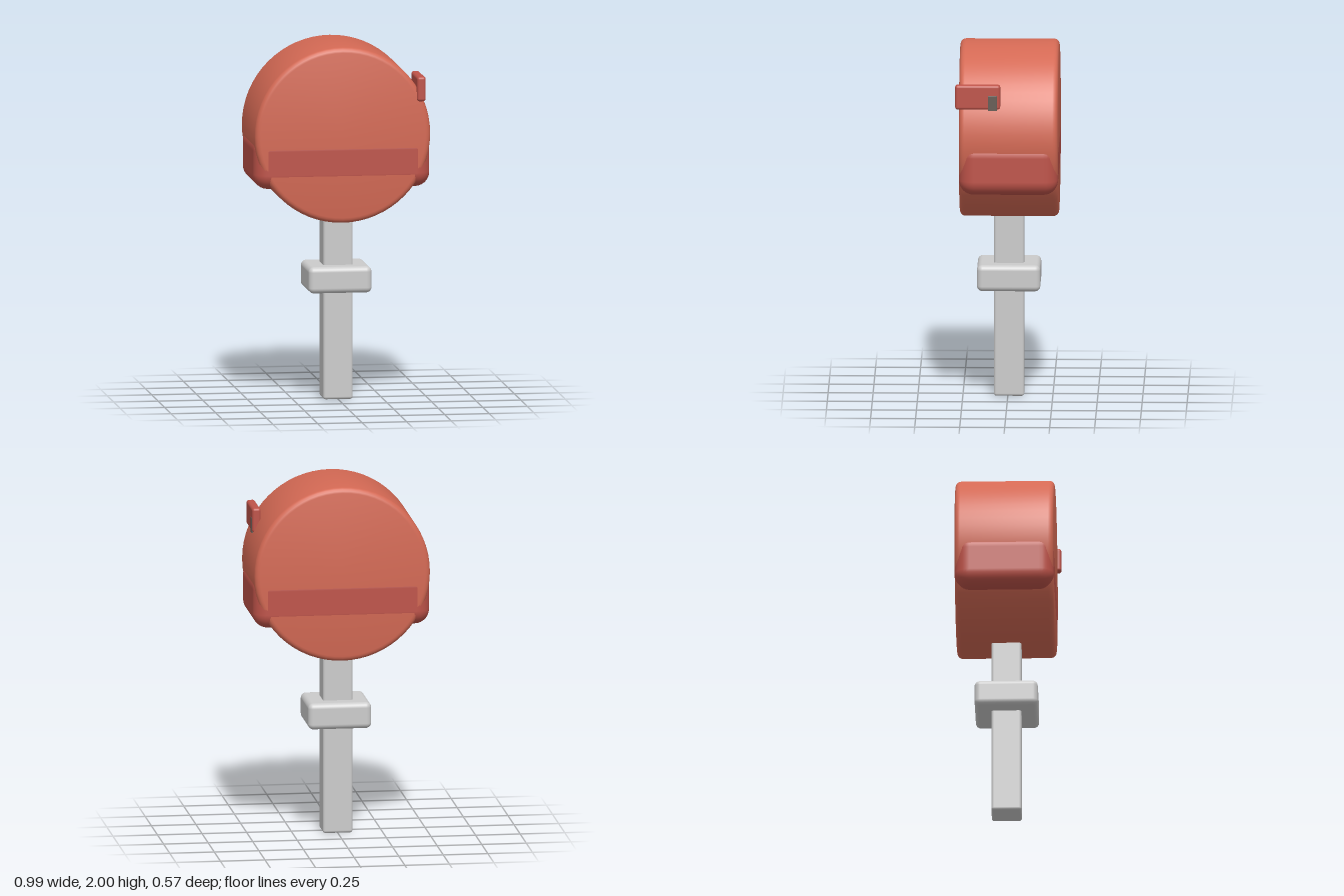
import * as THREE from 'three';
import { RoundedBoxGeometry } from 'three/addons/geometries/RoundedBoxGeometry.js';
import { toCreasedNormals } from 'three/addons/utils/BufferGeometryUtils.js';

const material = (color) => new THREE.MeshStandardMaterial({ color });

// Rounded box given by its limits on each axis
function block(name, [x0, x1], [y0, y1], [z0, z1], radius, mat) {
  const geometry = new RoundedBoxGeometry(x1 - x0, y1 - y0, z1 - z0, 4, radius);
  const mesh = new THREE.Mesh(geometry, mat);
  mesh.position.set((x0 + x1) / 2, (y0 + y1) / 2, (z0 + z1) / 2);
  mesh.name = name;
  return mesh;
}

// Disc-ended drum with softly rounded rims, lathed about y and laid along z
function drum(name, radius, depth, bevel, mat) {
  const h = depth / 2;
  const profile = [new THREE.Vector2(0, -h)];
  for (const [cy, start] of [[-h + bevel, -Math.PI / 2], [h - bevel, 0]]) {
    for (let i = 0; i <= 4; i++) {
      const a = start + (i / 4) * (Math.PI / 2);
      profile.push(new THREE.Vector2(radius - bevel + bevel * Math.cos(a), cy + bevel * Math.sin(a)));
    }
  }
  profile.push(new THREE.Vector2(0, h));
  const geometry = toCreasedNormals(new THREE.LatheGeometry(profile, 64), 0.6);
  geometry.rotateX(Math.PI / 2);
  const mesh = new THREE.Mesh(geometry, mat);
  mesh.name = name;
  return mesh;
}

export function createModel() {
  const group = new THREE.Group();
  group.name = 'drumOnPost';

  const grey = material(0xcccccc);
  const red = material(0xd46954);
  const deepRed = material(0xbe5349);
  const dark = material(0x665c55);

  // Square post and its collar
  group.add(block('post', [-0.083, 0.083], [0, 1.1], [-0.091, 0.077], 0.015, grey));
  group.add(block('collar', [-0.177, 0.177], [0.607, 0.755], [-0.182, 0.17], 0.03, grey));

  // Round body facing front
  const body = drum('body', 0.493, 0.55, 0.03, red);
  body.position.set(0, 1.507, -0.01);
  group.add(body);

  // Wide band through the body, just proud of both discs
  group.add(block('band', [-0.495, 0.495], [1.205, 1.505], [-0.286, 0.266], 0.083, deepRed));

  // Side tab with a small dark catch
  group.add(block('tab', [0.414, 0.463], [1.692, 1.83], [0.035, 0.286], 0.015, deepRed));
  group.add(block('catch', [0.42, 0.465], [1.686, 1.772], [0.053, 0.104], 0.003, dark));

  return group;
}
